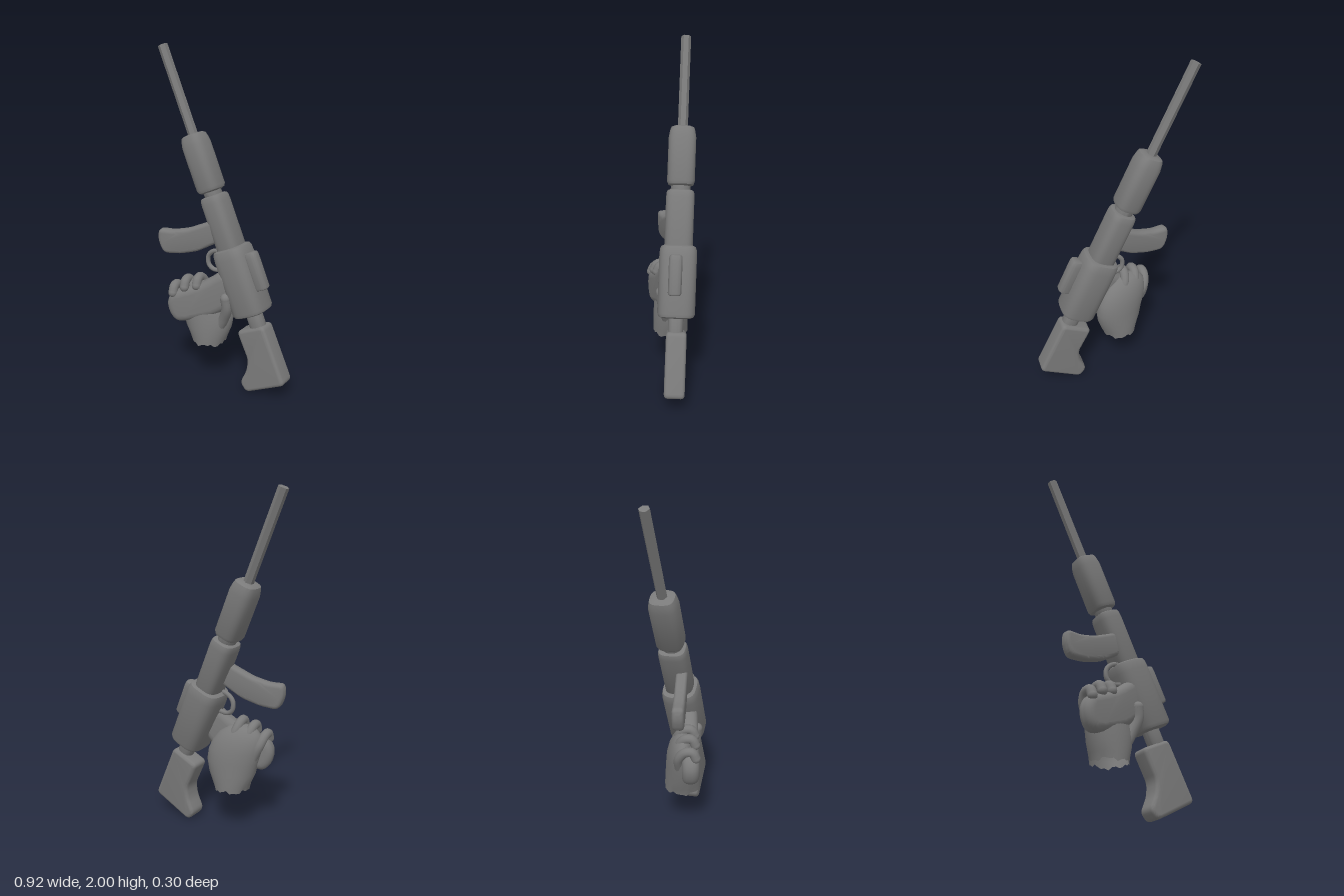
import * as THREE from 'three';
import { toCreasedNormals } from 'three/addons/utils/BufferGeometryUtils.js';

const darkGrey = new THREE.MeshStandardMaterial({ color: 0x7a7a7a });
const darkGreyOpen = new THREE.MeshStandardMaterial({ color: 0x7a7a7a, side: THREE.DoubleSide });

function add(parent, name, geometry, material = darkGrey) {
  const mesh = new THREE.Mesh(geometry, material);
  mesh.name = name;
  parent.add(mesh);
  return mesh;
}

// Skin over superellipse rings [y, centreX, centreZ, radiusX, radiusZ], listed upwards
function loft(rings, { power = 2, segs = 32, capBottom = true, jag = 0 } = {}) {
  const pos = [], index = [];
  const bend = (v) => Math.sign(v) * Math.abs(v) ** (2 / power);
  rings.forEach(([y, cx, cz, rx, rz], i) => {
    for (let j = 0; j < segs; j++) {
      const a = (j / segs) * Math.PI * 2;
      const dy = i === 0 ? jag * (Math.sin(j * 2.4) + Math.sin(j * 1.1)) : 0;
      pos.push(cx + rx * bend(Math.cos(a)), y + dy, cz + rz * bend(Math.sin(a)));
    }
  });
  const last = (rings.length - 1) * segs;
  const bottom = pos.length / 3, top = bottom + 1;
  for (const r of [rings[0], rings[rings.length - 1]]) pos.push(r[1], r[0], r[2]);
  for (let j = 0; j < segs; j++) {
    const k = (j + 1) % segs;
    for (let o = 0; o < last; o += segs) {
      index.push(o + j, o + segs + j, o + k, o + k, o + segs + j, o + segs + k);
    }
    if (capBottom) index.push(bottom, j, k);
    index.push(top, last + k, last + j);
  }
  const geo = new THREE.BufferGeometry();
  geo.setAttribute('position', new THREE.Float32BufferAttribute(pos, 3));
  geo.setIndex(index);
  return toCreasedNormals(geo, 0.7);
}

// Straight body along y with softened ends
function body(y0, y1, rx, rz, power = 3, soft = 0.025, topScale = 1) {
  const ring = (y, inset, k = 1) => [y, 0, 0, (rx - inset) * k, (rz - inset) * k];
  return loft([
    ring(y0, soft), ring(y0 + soft * 0.3, soft * 0.3), ring(y0 + soft, 0),
    ring(y1 - soft * 2.5, 0), ring(y1 - soft, soft * 0.1, topScale),
    ring(y1 - soft * 0.3, soft * 0.35, topScale), ring(y1, soft, topScale),
  ], { power });
}

// Flat outline given thickness and rounded rims, centred on z = 0
function slab(points, thickness, bevel, smooth) {
  const pts = points.map(([x, y]) => new THREE.Vector2(x, y));
  const shape = new THREE.Shape();
  if (smooth) {
    const curve = new THREE.CatmullRomCurve3(pts.map((p) => new THREE.Vector3(p.x, p.y, 0)), true);
    shape.setFromPoints(curve.getPoints(56).slice(0, -1).map((p) => new THREE.Vector2(p.x, p.y)));
  } else {
    // Round each corner with a short quadratic curve
    const n = pts.length;
    pts.forEach((p, i) => {
      const cut = (q) => p.clone().lerp(q, Math.min(0.4, 0.03 / p.distanceTo(q)));
      const a = cut(pts[(i + n - 1) % n]), b = cut(pts[(i + 1) % n]);
      if (i === 0) shape.moveTo(a.x, a.y); else shape.lineTo(a.x, a.y);
      shape.quadraticCurveTo(p.x, p.y, b.x, b.y);
    });
    shape.closePath();
  }
  const geo = new THREE.ExtrudeGeometry(shape, {
    depth: thickness - 2 * bevel, bevelEnabled: true, bevelThickness: bevel,
    bevelSize: bevel, bevelOffset: -bevel, bevelSegments: 4, curveSegments: 5,
  });
  geo.translate(0, 0, bevel - thickness / 2);
  return toCreasedNormals(geo, 0.7);
}

// Rounded tube through points
function limb(parent, name, points, radius) {
  const group = new THREE.Group();
  group.name = name;
  const pts = points.map((p) => new THREE.Vector3(...p));
  add(group, name + 'Tube', new THREE.TubeGeometry(new THREE.CatmullRomCurve3(pts), 20, radius, 12));
  for (const p of [pts[0], pts[pts.length - 1]]) {
    add(group, name + 'End', new THREE.SphereGeometry(radius, 12, 10)).position.copy(p);
  }
  parent.add(group);
}

export function createModel() {
  const model = new THREE.Group();
  model.name = 'rifleInHand';

  // Rifle body, built upright along its barrel and then leaned over
  const rifle = new THREE.Group();
  rifle.name = 'rifle';
  rifle.position.set(0.14, 0.685, -0.035);
  rifle.rotation.set(-0.037, 0, 0.417);
  model.add(rifle);

  const barrel = new THREE.CylinderGeometry(0.029, 0.029, 0.56, 6);
  barrel.translate(0, 1.147, 0);
  add(rifle, 'barrel', toCreasedNormals(barrel, 0.5));
  add(rifle, 'handguard', body(0.545, 0.892, 0.075, 0.08, 3, 0.026, 0.95));
  add(rifle, 'handguardCollar', body(0.48, 0.6, 0.052, 0.057, 2, 0.008));
  add(rifle, 'upperReceiver', body(0.15, 0.522, 0.073, 0.082, 3.2, 0.018));
  add(rifle, 'receiver', body(-0.209, 0.204, 0.106, 0.108, 3.2, 0.025));
  add(rifle, 'stockNeck', body(-0.33, -0.18, 0.048, 0.043, 2.5, 0.01));

  // Rear sight block on the receiver's back edge
  const sight = add(rifle, 'sightBlock', body(-0.08, 0.148, 0.041, 0.038, 3, 0.014));
  sight.position.set(0.123, 0, 0.014);

  // Stock, set upright against the slight lean of the barrel
  const stock = add(rifle, 'stock', slab([
    [-0.13, -0.286], [0.06, -0.286], [0.067, -0.657], [-0.213, -0.667],
    [-0.232, -0.6], [-0.16, -0.535], [-0.123, -0.47],
  ], 0.117, 0.02));
  stock.position.z = -0.006;

  // Curved magazine
  const magazine = add(model, 'magazine', slab([
    [0.02, 1.06], [-0.08, 1.01], [-0.2, 0.958], [-0.3, 0.935], [-0.39, 0.937],
    [-0.396, 0.87], [-0.375, 0.81], [-0.348, 0.786], [-0.25, 0.795], [-0.14, 0.825],
    [-0.04, 0.88], [0.06, 0.94],
  ], 0.066, 0.022));
  magazine.position.z = -0.012;
  magazine.rotation.y = 0.18;

  // Trigger guard
  const guardPath = [[0.03, 0.845], [-0.04, 0.836], [-0.08, 0.8], [-0.078, 0.745],
    [-0.045, 0.72], [0.04, 0.73]].map(([x, y]) => new THREE.Vector3(x, y, -0.01));
  add(model, 'triggerGuard',
    new THREE.TubeGeometry(new THREE.CatmullRomCurve3(guardPath), 24, 0.014, 8));

  // Grip and hand share a slight turn towards the front
  const hold = new THREE.Group();
  hold.name = 'gripAndHand';
  hold.position.z = 0.03;
  hold.rotation.y = 0.27;
  model.add(hold);

  add(hold, 'pistolGrip', slab([
    [0.05, 0.735], [-0.03, 0.69], [-0.1, 0.645], [-0.19, 0.605], [-0.275, 0.565],
    [-0.302, 0.5], [-0.28, 0.42], [-0.235, 0.385], [-0.1, 0.42], [0.01, 0.465],
    [0.1, 0.54], [0.14, 0.64],
  ], 0.1, 0.042, true));

  // Palm narrowing to an open, ragged wrist
  add(hold, 'palmAndWrist', loft([
    [0.262, -0.058, -0.042, 0.104, 0.106], [0.3, -0.058, -0.042, 0.116, 0.106],
    [0.36, -0.06, -0.042, 0.142, 0.103], [0.43, -0.062, -0.044, 0.156, 0.097],
    [0.5, -0.078, -0.048, 0.161, 0.088], [0.56, -0.095, -0.048, 0.15, 0.075],
    [0.61, -0.11, -0.044, 0.124, 0.059], [0.645, -0.12, -0.038, 0.08, 0.038],
    [0.658, -0.125, -0.034, 0.03, 0.014],
  ], { capBottom: false, jag: 0.007 }), darkGreyOpen);

  // Fingers curling over the grip from behind
  for (const [x, y] of [[-0.255, 0.6], [-0.182, 0.645], [-0.106, 0.665]]) {
    limb(hold, 'finger', [
      [x + 0.06, y - 0.13, -0.066], [x + 0.02, y - 0.045, -0.066], [x, y + 0.005, -0.03],
      [x - 0.006, y + 0.006, 0.01], [x - 0.008, y - 0.03, 0.029],
    ], 0.028);
  }

  // Thumb wrapping the inner side of the grip
  limb(hold, 'thumb', [
    [0.01, 0.35, -0.005], [0.052, 0.44, 0.018], [0.078, 0.52, 0.043], [0.072, 0.585, 0.05],
  ], 0.032);

  return model;
}
